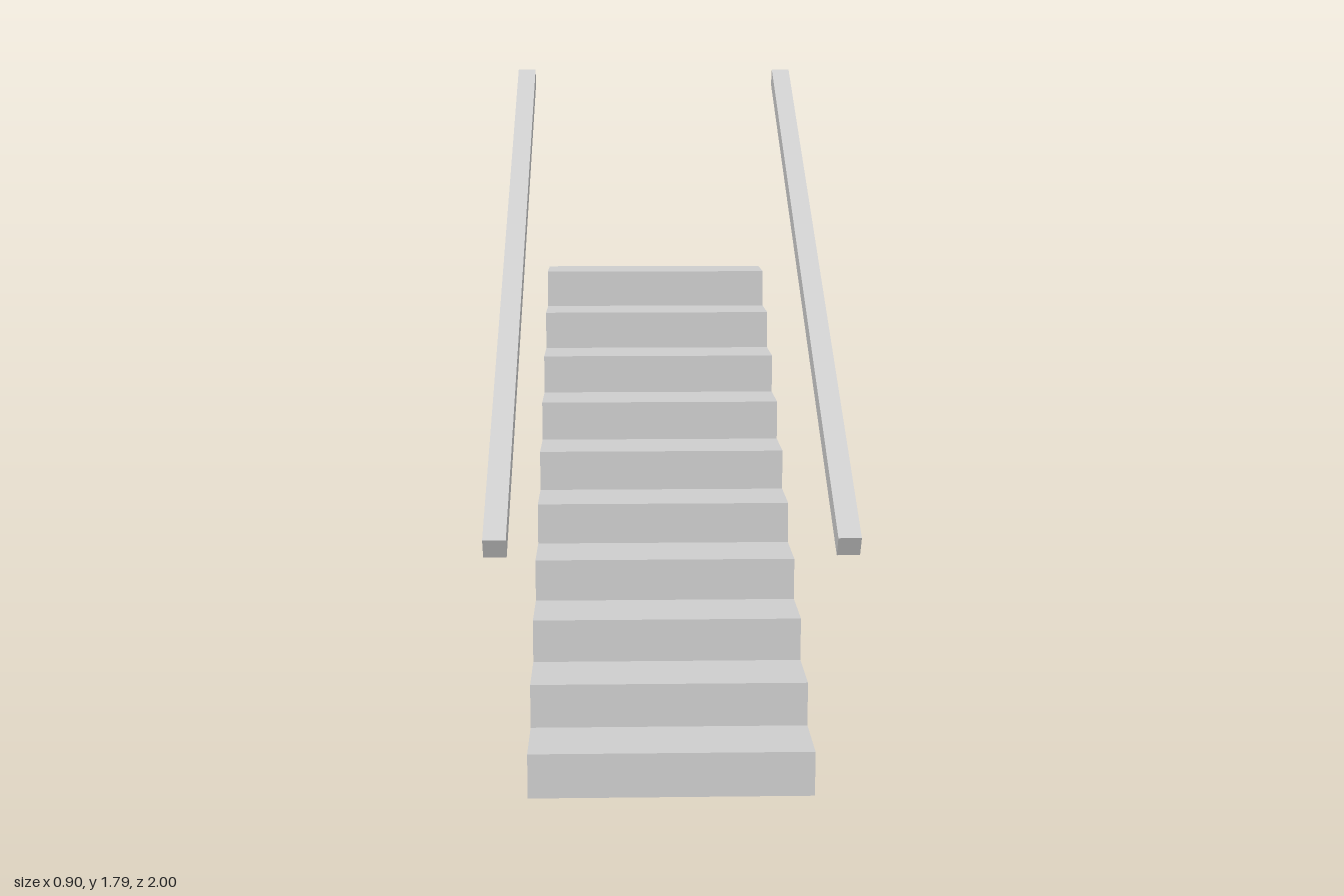
import * as THREE from 'three';

export function createModel() {
  const group = new THREE.Group();
  const grey = new THREE.MeshStandardMaterial({ color: 0xcccccc });
  grey.name = 'light grey';

  // Solid flight: stepped side profile (drawn as -z, y) extruded across the width
  const steps = 10, rise = 0.113, run = 0.19, width = 0.706;
  const half = (steps * run) / 2;
  const profile = new THREE.Shape();
  profile.moveTo(-half, 0);
  for (let i = 0; i < steps; i++) {
    profile.lineTo(-half + i * run, (i + 1) * rise);
    profile.lineTo(-half + (i + 1) * run, (i + 1) * rise);
  }
  profile.lineTo(half, 0);
  profile.closePath();
  const flight = new THREE.ExtrudeGeometry(profile, { depth: width, bevelEnabled: false });
  flight.translate(0, 0, -width / 2);
  flight.rotateY(Math.PI / 2);
  const stairs = new THREE.Mesh(flight, grey);
  stairs.name = 'stairs';
  group.add(stairs);

  // Sloping square handrails, one on each side
  const railGeometry = new THREE.BoxGeometry(0.056, 0.056, 2.27);
  for (const side of [-1, 1]) {
    const rail = new THREE.Mesh(railGeometry, grey);
    rail.name = side > 0 ? 'leftHandrail' : 'rightHandrail';
    rail.position.set(side * 0.423, 1.2, 0);
    rail.rotation.x = THREE.MathUtils.degToRad(29.7);
    group.add(rail);
  }
  return group;
}
